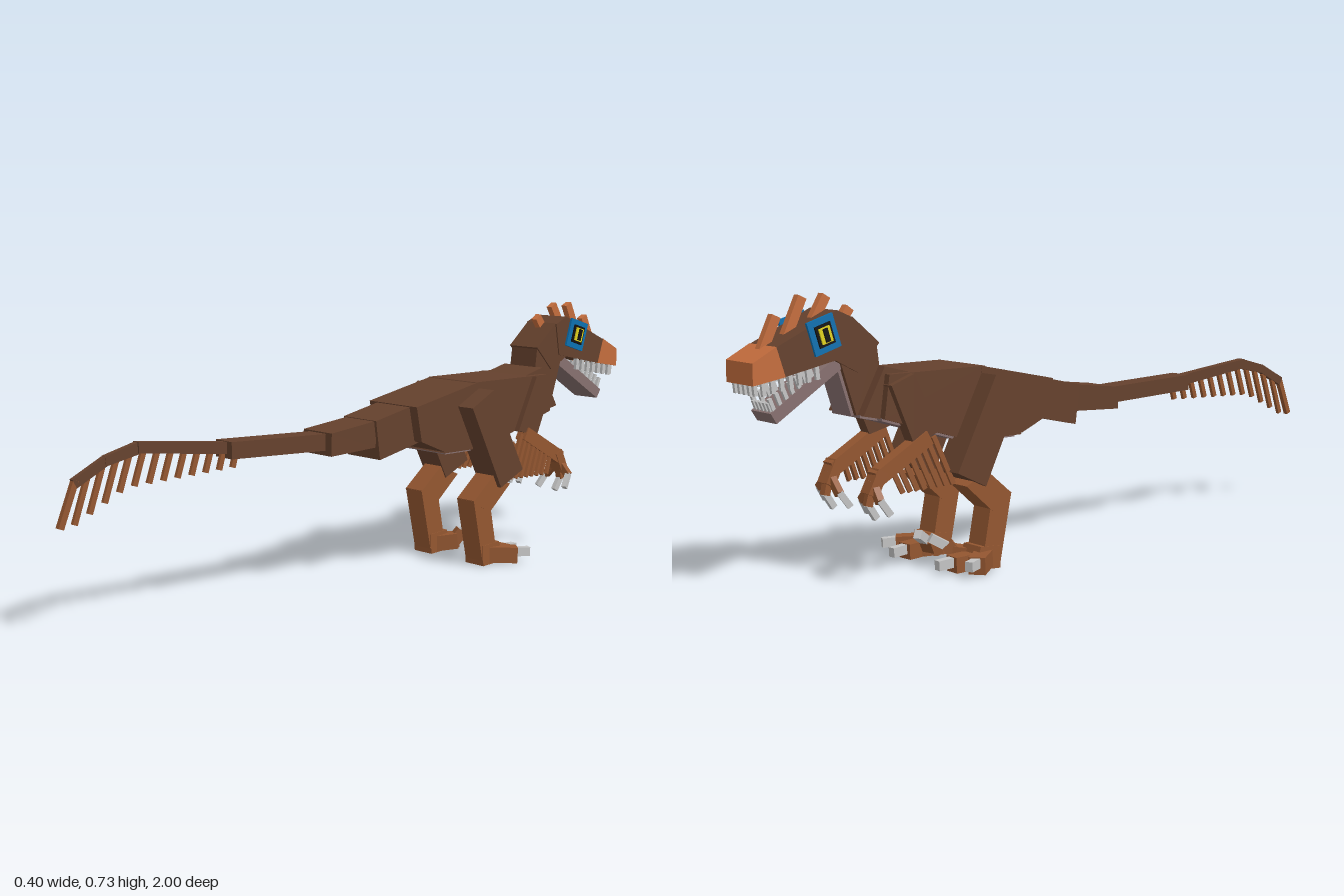
import * as THREE from 'three';

const mat = (name, color) => {
  const m = new THREE.MeshStandardMaterial({ color });
  m.name = name;
  return m;
};

export function createModel() {
  const model = new THREE.Group();
  model.name = 'featheredDinosaur';
  const CX = 0.004;
  const brown = mat('dark brown', 0x65412d);
  const rust = mat('rust brown', 0x935630);
  const orange = mat('orange', 0xc46d3d);
  const bone = mat('bone grey', 0xc4c4c4);
  const mauve = mat('mauve skin', 0x87706f);
  const blue = mat('eye blue', 0x0b70b0);
  const black = mat('black', 0x12100f);
  const yellow = mat('yellow', 0xe2d21c);

  // Side profile of [z, y] points, extruded across x and centred on x
  const slab = (name, material, w, pts, x = CX) => {
    const shape = new THREE.Shape(pts.map(p => new THREE.Vector2(p[0], p[1])));
    const g = new THREE.ExtrudeGeometry(shape, { depth: w, bevelEnabled: false });
    g.translate(0, 0, -w / 2).rotateY(-Math.PI / 2);
    const mesh = new THREE.Mesh(g, material);
    mesh.name = name;
    mesh.position.x = x;
    model.add(mesh);
    return mesh;
  };

  // Box running from point a to point b
  const beam = (name, material, a, b, w, h) => {
    const A = new THREE.Vector3(...a), B = new THREE.Vector3(...b);
    const mesh = new THREE.Mesh(new THREE.BoxGeometry(w, h, A.distanceTo(B)), material);
    mesh.name = name;
    mesh.position.copy(A).add(B).multiplyScalar(0.5);
    mesh.lookAt(B);
    model.add(mesh);
    return mesh;
  };

  // Tail, from the hips to the tip
  slab('tailBase', brown, 0.135, [[0.03, 0.46], [-0.13, 0.495], [-0.16, 0.39], [0.015, 0.35]]);
  slab('tailSecond', brown, 0.118, [[0.183, 0.44], [0.015, 0.46], [0.025, 0.385], [0.185, 0.377]]);
  slab('tailThird', brown, 0.068, [[0.5, 0.447], [0.17, 0.436], [0.17, 0.39], [0.5, 0.402]]);
  slab('tailFourth', brown, 0.026, [[0.77, 0.473], [0.47, 0.442], [0.47, 0.41], [0.77, 0.445]]);
  slab('tailFifth', brown, 0.017, [[0.865, 0.447], [0.765, 0.473], [0.765, 0.442], [0.862, 0.422]]);
  slab('tailTip', brown, 0.014, [[0.957, 0.4], [0.86, 0.449], [0.858, 0.422], [0.945, 0.378]]);
  beam('tailEndFeather', rust, [CX, 0.398, 0.946], [CX, 0.283, 0.992], 0.014, 0.016);

  // Feathers hanging under the tail
  const tailLine = z => z > 0.77 ? 0.455 - (z - 0.77) * 0.36 : 0.42 + (z - 0.47) * 0.117;
  for (let i = 0; i < 12; i++) {
    const z = 0.46 + i * 0.041, len = 0.035 + i * 0.0065, y = tailLine(z);
    beam('tailFeather', rust, [CX, y, z], [CX, y - len - 0.01, z + len * 0.38], 0.01, 0.014);
  }

  // Body
  slab('hips', brown, 0.196, [[-0.095, 0.49], [-0.34, 0.541], [-0.377, 0.35], [-0.206, 0.352], [-0.115, 0.39]]);
  slab('torso', brown, 0.194, [[-0.33, 0.541], [-0.634, 0.541], [-0.65, 0.43], [-0.377, 0.348], [-0.206, 0.348]]);
  slab('bellyPlate', mauve, 0.17, [[-0.65, 0.432], [-0.65, 0.424], [-0.377, 0.342], [-0.22, 0.342], [-0.22, 0.35], [-0.377, 0.35]]);
  slab('neckBase', brown, 0.155, [[-0.516, 0.53], [-0.634, 0.56], [-0.7, 0.44], [-0.607, 0.42]]);
  slab('chestPlate', mauve, 0.125, [[-0.607, 0.422], [-0.7, 0.442], [-0.7, 0.434], [-0.607, 0.414]]);

  // Neck and head
  slab('lowerNeck', brown, 0.102, [[-0.64, 0.623], [-0.75, 0.585], [-0.703, 0.44], [-0.618, 0.45]]);
  slab('throatPlate', mauve, 0.08, [[-0.75, 0.585], [-0.758, 0.583], [-0.711, 0.438], [-0.703, 0.44]]);
  slab('upperNeck', brown, 0.112, [[-0.634, 0.618], [-0.714, 0.687], [-0.78, 0.59], [-0.7, 0.548]]);
  slab('head', brown, 0.12, [[-0.714, 0.685], [-0.76, 0.705], [-0.94, 0.623], [-0.912, 0.553], [-0.73, 0.59]]);
  slab('snout', orange, 0.122, [[-0.934, 0.627], [-1, 0.592], [-1, 0.538], [-0.91, 0.553]]);
  slab('lowerJaw', mauve, 0.09, [[-0.75, 0.592], [-0.944, 0.466], [-0.928, 0.44], [-0.735, 0.563]]);

  // Crest sticks leaning backwards
  [[-0.688, 0.705, -0.72, 0.66], [-0.757, 0.738, -0.8, 0.665], [-0.826, 0.738, -0.872, 0.64], [-0.9, 0.695, -0.94, 0.61]]
    .forEach(([z0, y0, z1, y1]) => beam('crestFeather', orange, [CX, y0, z0], [CX, y1, z1], 0.02, 0.025));

  // Front teeth
  for (let i = -2; i <= 2; i++) {
    const x = CX + i * 0.022;
    beam('frontTooth', bone, [x, 0.545, -0.988], [x, 0.512, -0.984], 0.01, 0.01);
    beam('lowerFrontTooth', bone, [x * 0.75, 0.46, -0.932], [x * 0.75, 0.492, -0.945], 0.009, 0.009);
  }

  for (const s of [1, -1]) {
    const X = v => CX + s * v;

    // Eye, layered plates turned with the head
    [['eyePatch', blue, 0.077, 0.086, 0.063], ['eyeRim', black, 0.046, 0.054, 0.068],
      ['iris', yellow, 0.032, 0.04, 0.072], ['pupil', black, 0.013, 0.034, 0.076]].forEach(([n, m, w, h, x]) => {
      const e = new THREE.Mesh(new THREE.BoxGeometry(0.008, h, w), m);
      e.name = n;
      e.position.set(X(x), 0.648, -0.803);
      e.rotation.x = -0.3;
      model.add(e);
    });

    // Side teeth of both jaws
    for (let i = 0; i < 7; i++) {
      const t = i / 6, z = -0.82 - t * 0.15, y = 0.575 - t * 0.028;
      beam('upperTooth', bone, [X(0.053), y, z], [X(0.053), y - 0.036, z + 0.004], 0.009, 0.011);
      const zl = -0.82 - t * 0.11, yl = 0.54 - t * 0.072;
      beam('lowerTooth', bone, [X(0.038), yl, zl], [X(0.038), yl + 0.034, zl - 0.014], 0.009, 0.01);
    }

    // Leg
    slab('thigh', brown, 0.088, [[-0.257, 0.478], [-0.342, 0.523], [-0.468, 0.28], [-0.377, 0.236]], X(0.113));
    slab('knee', rust, 0.069, [[-0.36, 0.272], [-0.43, 0.24], [-0.345, 0.165], [-0.28, 0.205]], X(0.108));
    slab('shin', rust, 0.068, [[-0.28, 0.207], [-0.35, 0.178], [-0.377, 0.04], [-0.318, 0.025]], X(0.108));
    slab('foot', rust, 0.072, [[-0.318, 0.07], [-0.385, 0.075], [-0.405, 0.015], [-0.32, 0.01]], X(0.108));

    // Toes and claws
    beam('outerToe', rust, [X(0.115), 0.04, -0.345], [X(0.176), 0.036, -0.425], 0.045, 0.046);
    beam('outerClaw', bone, [X(0.172), 0.044, -0.42], [X(0.19), 0.042, -0.462], 0.022, 0.026);
    beam('middleToe', rust, [X(0.108), 0.035, -0.36], [X(0.103), 0.032, -0.45], 0.046, 0.042);
    beam('middleClaw', bone, [X(0.103), 0.038, -0.448], [X(0.1), 0.035, -0.495], 0.022, 0.026);
    beam('innerToe', rust, [X(0.1), 0.035, -0.345], [X(0.048), 0.045, -0.405], 0.044, 0.046);
    beam('sickleToe', rust, [X(0.06), 0.035, -0.395], [X(0.044), 0.072, -0.42], 0.032, 0.034);
    beam('sickleClaw', bone, [X(0.05), 0.062, -0.415], [X(0.027), 0.092, -0.462], 0.022, 0.024);

    // Arm
    slab('upperArm', brown, 0.036, [[-0.57, 0.54], [-0.64, 0.515], [-0.575, 0.365], [-0.495, 0.385]], X(0.096));
    beam('forearm', rust, [X(0.1), 0.375, -0.525], [X(0.098), 0.285, -0.685], 0.036, 0.04);
    beam('hand', rust, [X(0.098), 0.305, -0.67], [X(0.096), 0.245, -0.7], 0.04, 0.03);

    // Feathers hanging from the forearm
    for (let i = 0; i < 8; i++) {
      const t = i / 7, z = -0.51 - t * 0.13, y = 0.375 - t * 0.07, len = 0.145 - t * 0.075;
      beam('armFeather', rust, [X(0.11), y, z], [X(0.118), y - len * 0.88, z + len * 0.38], 0.009, 0.013);
    }

    // Fingers and claws
    [[0.05, 0.225, -0.69], [0.095, 0.218, -0.705], [0.135, 0.232, -0.695]].forEach(([x, y, z]) => {
      beam('finger', rust, [X(0.097), 0.275, -0.69], [X(x), y, z], 0.018, 0.02);
      beam('fingerClaw', bone, [X(x), y + 0.005, z], [X(x + (x - 0.097) * 0.2), y - 0.034, z + 0.026], 0.014, 0.017);
    });
  }
  return model;
}
